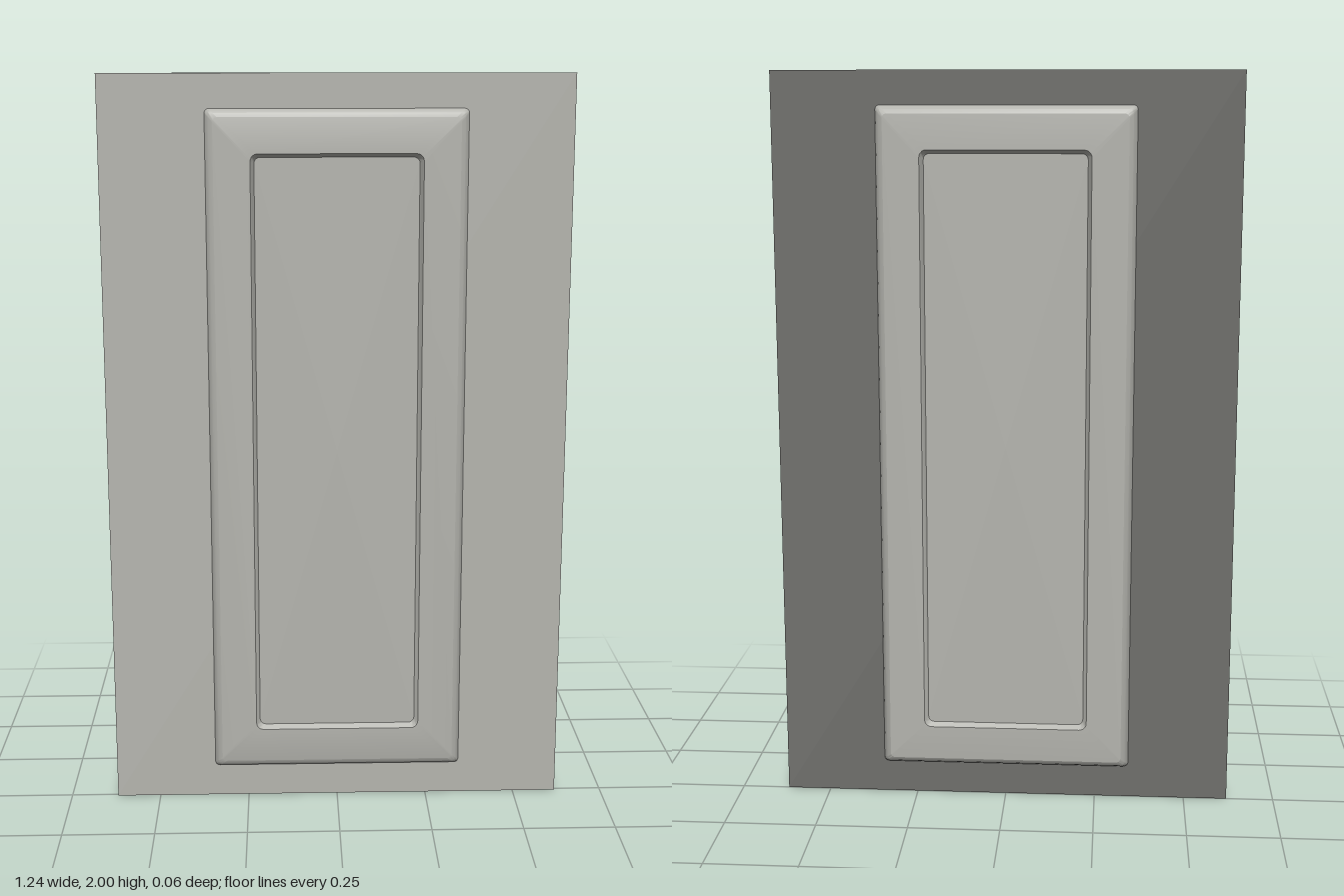
import * as THREE from 'three';
import { toCreasedNormals } from 'three/addons/utils/BufferGeometryUtils.js';

const PLATE_Z = 0.004;   // the plate sits slightly forward of centre
const MID_Y = 1;

// One rounded-rectangle loop, counter-clockwise seen from +z
function roundedLoop(halfW, halfH, radius, z, steps = 5) {
  const points = [];
  const corners = [[1, 1], [-1, 1], [-1, -1], [1, -1]];
  corners.forEach(([sx, sy], c) => {
    for (let i = 0; i <= steps; i++) {
      const a = (c + i / steps) * Math.PI / 2;
      points.push([
        sx * (halfW - radius) + Math.cos(a) * radius,
        sy * (halfH - radius) + Math.sin(a) * radius,
        z,
      ]);
    }
  });
  return points;
}

// Raised moulding with rounded outer edge and a recessed centre
function mouldingGeometry(height) {
  const loops = [
    roundedLoop(0.345, 0.912, 0.012, 0),
    roundedLoop(0.340, 0.907, 0.012, height * 0.45),
    roundedLoop(0.333, 0.900, 0.012, height * 0.78),
    roundedLoop(0.322, 0.889, 0.012, height),
    roundedLoop(0.226, 0.796, 0.020, height),
    roundedLoop(0.221, 0.791, 0.018, height - 0.008),
    roundedLoop(0.216, 0.786, 0.016, height - 0.016),
  ];
  const n = loops[0].length;
  const positions = [...loops.flat(), [0, 0, height - 0.016]].flat();
  const index = [];
  for (let r = 0; r < loops.length - 1; r++) {
    for (let k = 0; k < n; k++) {
      const a = r * n + k, b = r * n + (k + 1) % n;
      index.push(a, b, b + n, a, b + n, a + n);
    }
  }
  // Recess floor
  const last = (loops.length - 1) * n;
  for (let k = 0; k < n; k++) index.push(last + k, last + (k + 1) % n, loops.length * n);

  const geometry = new THREE.BufferGeometry();
  geometry.setAttribute('position', new THREE.Float32BufferAttribute(positions, 3));
  geometry.setIndex(index);
  return toCreasedNormals(geometry, Math.PI / 7);
}

export function createModel() {
  const group = new THREE.Group();
  group.name = 'panelDoor';

  const paint = new THREE.MeshStandardMaterial({ color: 0xb4b4ae });
  paint.name = 'pale grey paint';
  const dark = new THREE.MeshStandardMaterial({ color: 0x6e6e6b });
  dark.name = 'dark grey backing';

  // Thin plate: pale front, dark back and edges
  const plate = new THREE.Mesh(
    new THREE.BoxGeometry(1.24, 2, 0.008),
    [dark, dark, dark, dark, paint, dark],
  );
  plate.name = 'plate';
  plate.position.set(0, MID_Y, PLATE_Z);
  group.add(plate);

  // Mouldings on both faces
  const front = new THREE.Mesh(mouldingGeometry(0.025), paint);
  front.name = 'frontMoulding';
  front.position.set(0, MID_Y, PLATE_Z);

  const back = new THREE.Mesh(mouldingGeometry(0.033), paint);
  back.name = 'backMoulding';
  back.position.set(0, MID_Y, PLATE_Z);
  back.rotation.y = Math.PI;

  group.add(front, back);
  return group;
}
